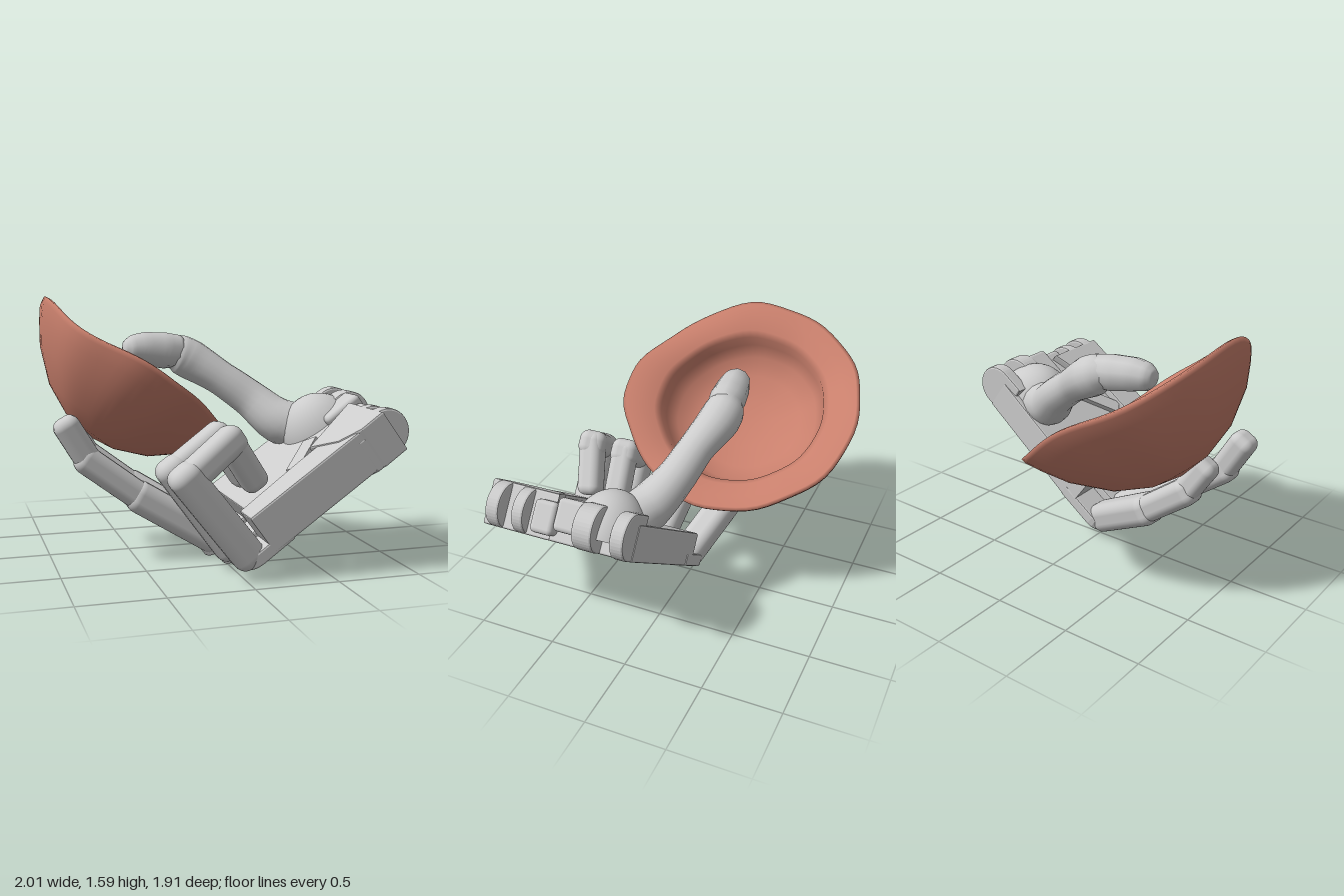
import * as THREE from 'three';
import { mergeVertices } from 'three/addons/utils/BufferGeometryUtils.js';
import { RoundedBoxGeometry } from 'three/addons/geometries/RoundedBoxGeometry.js';

const grey = new THREE.MeshStandardMaterial({ color: 0xcccccc });
const clay = new THREE.MeshStandardMaterial({ color: 0xc87f6c, side: THREE.DoubleSide });
const V = (x, y, z) => new THREE.Vector3(x, y, z);

function add(parent, name, geometry, material = grey) {
  const mesh = new THREE.Mesh(geometry, material);
  mesh.name = name;
  parent.add(mesh);
  return mesh;
}

// Plate from a plan outline [along palm, z], between two heights
function plate(parent, name, outline, low, high, bevel = 0.012) {
  const shape = new THREE.Shape(outline.map(p => new THREE.Vector2(...p)));
  const g = new THREE.ExtrudeGeometry(shape, {
    depth: high - low - 2 * bevel, bevelThickness: bevel, bevelSize: bevel,
    bevelOffset: -bevel, bevelSegments: 2
  });
  g.rotateX(Math.PI / 2).translate(0, high - bevel, 0);
  return add(parent, name, g);
}

// Rounded finger bone between two joints
function bone(parent, name, a, b, height, width) {
  const dir = b.clone().sub(a), len = dir.length();
  const x = dir.normalize();
  const y = V(0, 0, 1).cross(x).normalize();
  const z = x.clone().cross(y);
  const r = Math.min(height, width) * 0.36;
  const m = add(parent, name, new RoundedBoxGeometry(len + height * 0.95, height, width, 4, r));
  m.quaternion.setFromRotationMatrix(new THREE.Matrix4().makeBasis(x, y, z));
  m.position.copy(a).add(b).multiplyScalar(0.5);
}

// Skin of round sections along a curve; stations are [x, y, z, radius]
function limb(parent, name, stations, steps, sides) {
  const curve = new THREE.CatmullRomCurve3(stations.map(s => V(s[0], s[1], s[2])));
  const pos = [], index = [], n = stations.length - 1;
  for (let i = 0; i <= steps; i++) {
    const t = i / steps, k = Math.min(Math.floor(t * n), n - 1);
    const r = THREE.MathUtils.lerp(stations[k][3], stations[k + 1][3], t * n - k);
    const c = curve.getPoint(t), tan = curve.getTangent(t);
    const side = tan.clone().cross(V(0, 0, 1)).normalize();
    const up = tan.clone().cross(side);
    for (let j = 0; j < sides; j++) {
      const a = j / sides * Math.PI * 2;
      const p = c.clone().addScaledVector(side, r * Math.cos(a)).addScaledVector(up, r * Math.sin(a));
      pos.push(p.x, p.y, p.z);
      if (i < steps) {
        const p0 = i * sides + j, p1 = i * sides + (j + 1) % sides;
        index.push(p0, p1, p0 + sides, p1, p1 + sides, p0 + sides);
      }
    }
  }
  const g = new THREE.BufferGeometry();
  g.setAttribute('position', new THREE.Float32BufferAttribute(pos, 3));
  g.setIndex(index);
  g.computeVertexNormals();
  return add(parent, name, g);
}

// Palm: x runs from knuckles to wrist, y out of the gripping side
function makePalm() {
  const palm = new THREE.Group();
  palm.name = 'palm';
  palm.position.set(-0.07, 0, 0);
  palm.rotation.z = Math.atan2(0.59, 0.807);

  plate(palm, 'palmPlate', [[0.32, -0.08], [1.22, -0.03], [1.24, 0.95], [1.03, 0.94], [0.7, 0.73], [0.7, 0.67], [0.32, 0.67]], 0, 0.22);
  plate(palm, 'outerPalm', [[0.28, 0.72], [0.7, 0.7], [1.08, 0.7], [1.08, 0.94], [0.28, 0.91]], 0.01, 0.27);
  plate(palm, 'heel', [[0.84, 0.66], [1.24, 0.5], [1.24, 0.95], [1.08, 0.95], [0.95, 0.87]], 0, 0.28);
  const strip = add(palm, 'palmStrip', new THREE.BoxGeometry(0.3, 0.06, 0.1));
  strip.position.set(0.8, 0.22, 0.58);
  strip.rotation.y = 0.7;

  // Rounded knuckle lips
  [[0.81, 0.1], [0.54, 0.04], [0.27, 0], [0.02, 0.05]].forEach(([z, start]) => {
    const r = 0.1, out = [[0.42, z + r], [0.42, z - r]];
    for (let i = 0; i <= 10; i++) {
      const a = Math.PI * i / 10;
      out.push([start + r - r * Math.sin(a), z - r * Math.cos(a)]);
    }
    plate(palm, 'knuckleLip', out, 0, 0.08);
  });

  // Wrist prongs with round ends: z, width, reach
  [[0.02, 0.09, 1.4], [0.24, 0.13, 1.4], [0.695, 0.08, 1.34], [0.86, 0.09, 1.35]].forEach(([z, w, end]) => {
    const s = new THREE.Shape();
    s.moveTo(1.1, 0);
    s.lineTo(end - 0.14, 0);
    s.absarc(end - 0.14, 0.14, 0.14, -Math.PI / 2, Math.PI / 2, false);
    s.lineTo(1.1, 0.28);
    const g = new THREE.ExtrudeGeometry(s, {
      depth: w - 0.03, bevelThickness: 0.015, bevelSize: 0.012, bevelOffset: -0.012, bevelSegments: 2, curveSegments: 10
    });
    add(palm, 'wristProng', g.translate(0, 0, z - w / 2 + 0.015));
  });
  add(palm, 'wristBlock', new RoundedBoxGeometry(0.26, 0.2, 0.18, 2, 0.03)).position.set(1.2, 0.17, 0.37);
  add(palm, 'wristLug', new RoundedBoxGeometry(0.22, 0.2, 0.15, 2, 0.03)).position.set(1.2, 0.13, 0.54);

  // Thumb muscle, a dome on the gripping side only
  const mound = add(palm, 'thumbMound', new THREE.SphereGeometry(1, 32, 12, 0, Math.PI * 2, 0, Math.PI / 2));
  mound.scale.set(0.26, 0.31, 0.24);
  mound.position.set(1.06, 0.08, 0.21);
  return palm;
}

function makeFingers() {
  const fingers = new THREE.Group();
  fingers.name = 'fingers';
  const joints = {
    littleFinger: [[0, 0.17, 0.81], [-0.34, 0.6, 0.83], [-0.07, 0.79, 0.74], [0.08, 0.57, 0.69]],
    ringFinger: [[-0.02, 0.15, 0.54], [-0.34, 0.59, 0.54], [-0.07, 0.78, 0.5], [0.08, 0.56, 0.49]],
    middleFinger: [[-0.05, 0.13, 0.27], [-0.46, 0.38, 0.24], [-0.78, 0.62, 0.22], [-0.9, 0.82, 0.22]],
    indexFinger: [[-0.04, 0.14, 0.02], [-0.44, 0.38, -0.12], [-0.73, 0.6, -0.14], [-0.83, 0.76, -0.11]]
  };
  for (const [name, list] of Object.entries(joints)) {
    const finger = new THREE.Group(), p = list.map(j => V(...j));
    finger.name = name;
    bone(finger, 'lowerBone', p[0], p[1], 0.195, 0.2);
    bone(finger, 'middleBone', p[1], p[2], 0.17, 0.18);
    bone(finger, 'fingertip', p[2], p[3], 0.16, 0.16);
    fingers.add(finger);
  }
  return fingers;
}

function makeThumb() {
  const thumb = new THREE.Group();
  thumb.name = 'thumb';
  limb(thumb, 'thumbBone', [
    [0.62, 0.75, 0.14, 0.15], [0.47, 0.8, 0.07, 0.145], [0.32, 0.93, -0.03, 0.12], [0.13, 1.07, -0.1, 0.11],
    [-0.04, 1.18, -0.17, 0.13], [-0.12, 1.22, -0.18, 0.125], [-0.2, 1.24, -0.175, 0.08], [-0.22, 1.245, -0.17, 0.001]
  ], 36, 16);
  limb(thumb, 'thumbTip', [
    [-0.08, 1.24, -0.17, 0.001], [-0.11, 1.24, -0.17, 0.1], [-0.22, 1.245, -0.16, 0.115], [-0.36, 1.26, -0.145, 0.105],
    [-0.45, 1.26, -0.135, 0.085], [-0.49, 1.26, -0.13, 0.05], [-0.5, 1.26, -0.13, 0.001]
  ], 24, 10);
  return thumb;
}

// Uneven shell with a broad rim and a stepped hollow
function makeBowl() {
  const profile = [[0, -0.52], [0.25, -0.49], [0.52, -0.4], [0.78, -0.235], [0.92, -0.1], [0.99, -0.02], [1, 0.01],
    [0.97, 0.015], [0.86, 0], [0.74, -0.03], [0.69, -0.06], [0.67, -0.14], [0.6, -0.22], [0.45, -0.29], [0.22, -0.33], [0, -0.34]];
  let g = new THREE.LatheGeometry(profile.map(p => new THREE.Vector2(...p)), 72);
  const pos = g.attributes.position;
  for (let i = 0; i < pos.count; i++) {
    const x = pos.getX(i), z = pos.getZ(i), r = Math.hypot(x, z), a = Math.atan2(z, x);
    const ripple = 1 + r * (0.006 * Math.sin(5 * a + 1) + 0.006 * Math.sin(11 * a));
    const taper = 1 - 0.2 * Math.max(0, z) ** 2 * r;
    // The rim sags on both sides of its high corner
    const sag = x < 0 ? 0.06 * Math.sin(2 * a) ** 2 : 0;
    pos.setXYZ(i, x * 0.74 * ripple * taper,
      pos.getY(i) + r ** 3 * (0.03 * Math.sin(a) ** 2 + 0.006 * Math.sin(7 * a) - sag), z * 0.785 * ripple);
  }
  g.deleteAttribute('uv');
  g.deleteAttribute('normal');
  g = mergeVertices(g, 1e-4);
  g.computeVertexNormals();
  const bowl = add(new THREE.Group(), 'bowl', g, clay);
  bowl.rotation.z = -Math.atan2(0.62, 0.785);
  bowl.position.set(-0.405, 1.125, -0.17);
  return bowl;
}

export function createModel() {
  const model = new THREE.Group();
  model.name = 'handHoldingBowl';
  model.add(makePalm(), makeFingers(), makeThumb(), makeBowl());
  return model;
}
